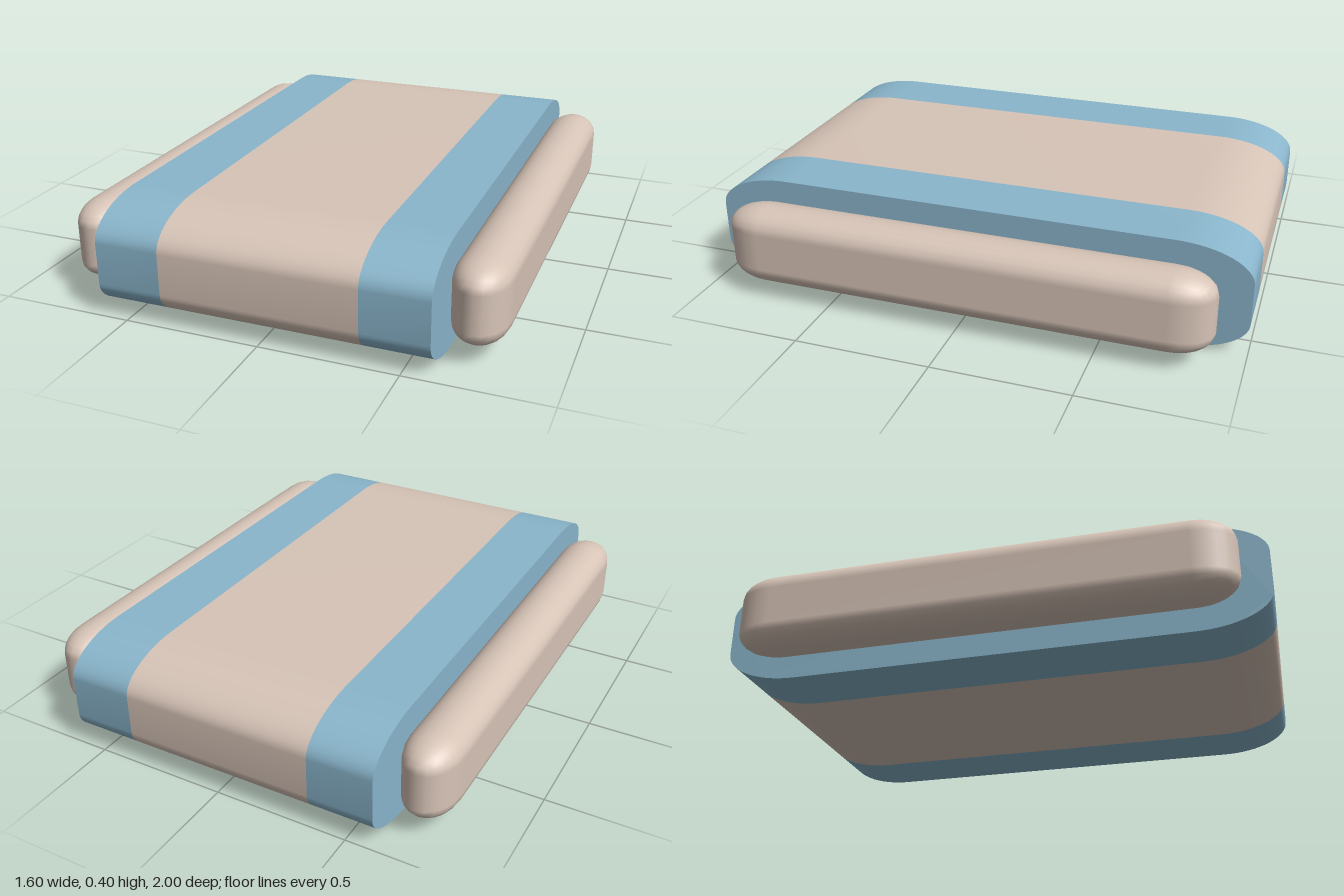
import * as THREE from 'three';
import { toCreasedNormals } from 'three/addons/utils/BufferGeometryUtils.js';
import { RoundedBoxGeometry } from 'three/addons/geometries/RoundedBoxGeometry.js';

const beige = new THREE.MeshStandardMaterial({ color: 0xd7c4b7 });
beige.name = 'beige';
const blue = new THREE.MeshStandardMaterial({ color: 0x8ab6cc });
blue.name = 'blue';

// Side outline of the slab: flat top and bottom, elliptical corners
function slabOutline() {
  const rz = 0.27, ry = 0.125, z = 1 - rz, q = Math.PI / 2;
  const s = new THREE.Shape();
  s.moveTo(-z, 0);
  s.lineTo(z, 0);
  s.absellipse(z, ry, rz, ry, -q, 0, false);
  s.absellipse(z, 0.4 - ry, rz, ry, 0, q, false);
  s.absellipse(-z, 0.4 - ry, rz, ry, q, 2 * q, false);
  s.absellipse(-z, ry, rz, ry, 2 * q, 3 * q, false);
  return s;
}

// Slice of the slab between two x positions
function slabSlice(x0, x1, material, name) {
  const extruded = new THREE.ExtrudeGeometry(slabOutline(), {
    depth: x1 - x0, bevelEnabled: false, curveSegments: 8,
  });
  extruded.rotateY(Math.PI / 2).translate(x0, 0, 0);
  const mesh = new THREE.Mesh(toCreasedNormals(extruded, 0.7), material);
  mesh.name = name;
  return mesh;
}

export function createModel() {
  const group = new THREE.Group();
  group.name = 'paddedSlab';

  group.add(slabSlice(-0.36, 0.36, beige, 'centrePanel'));
  group.add(slabSlice(0.36, 0.6, blue, 'leftStripe'));
  group.add(slabSlice(-0.6, -0.36, blue, 'rightStripe'));

  // Rounded side pads, with unit rounding stretched to elliptical corners
  const rx = 0.1, ry = 0.08, rz = 0.15;
  const padGeometry = new RoundedBoxGeometry(0.2 / rx, 0.3 / ry, 1.8 / rz, 3, 1);
  padGeometry.scale(rx, ry, rz);
  for (const side of [1, -1]) {
    const pad = new THREE.Mesh(padGeometry, beige);
    pad.name = side > 0 ? 'leftPad' : 'rightPad';
    pad.position.set(side * 0.7, 0.2, 0);
    group.add(pad);
  }
  return group;
}
